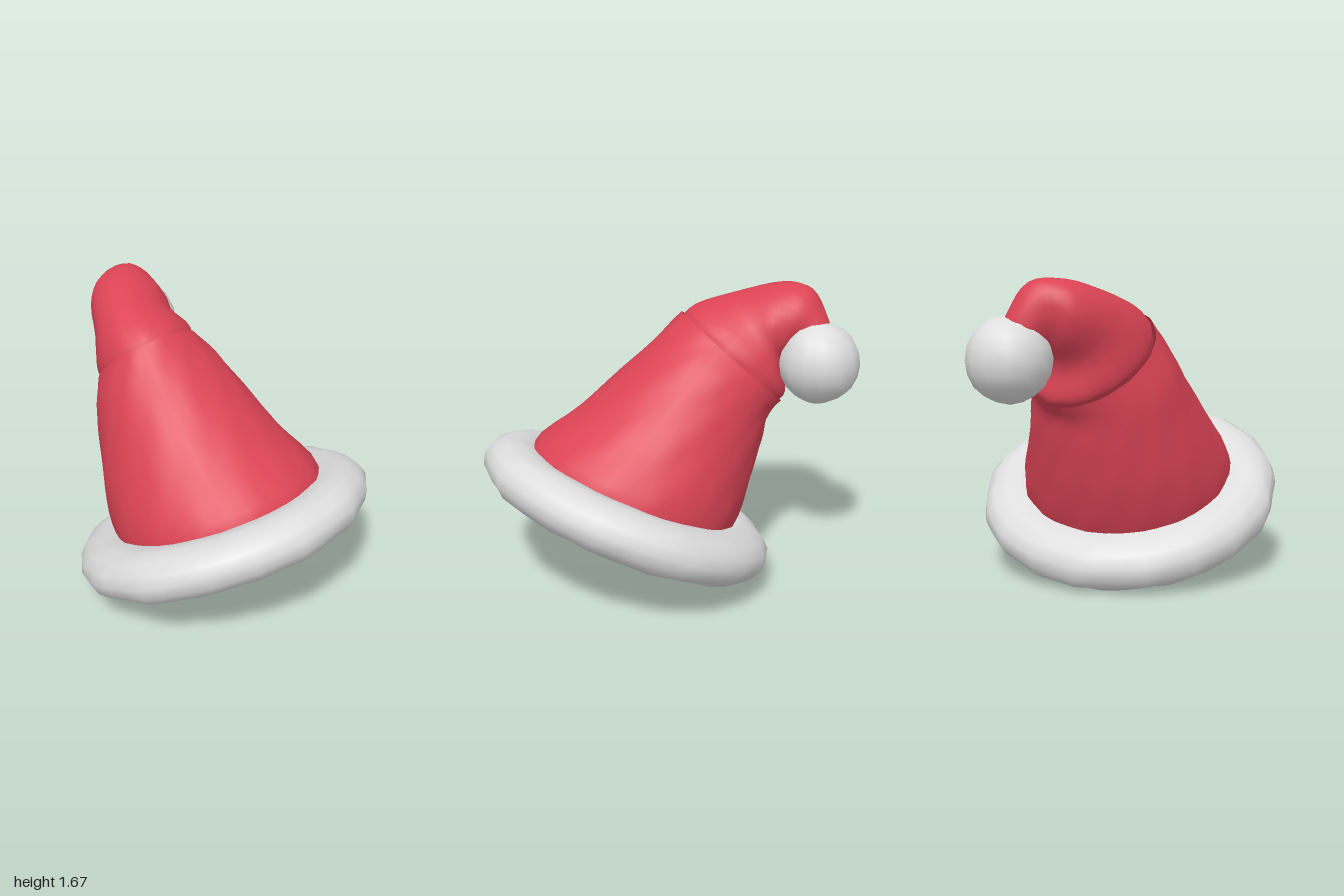
import * as THREE from 'three';
import { mergeVertices } from 'three/addons/utils/BufferGeometryUtils.js';

const red = new THREE.MeshStandardMaterial({ color: 0xdc4455, side: THREE.DoubleSide });
red.name = 'red felt';
const white = new THREE.MeshStandardMaterial({ color: 0xdedede });
white.name = 'white fur';

const V = (a) => new THREE.Vector3(...a);

// Skin over elliptical rings, each given as [centre, sideways radius, forward radius]
function loft(rings, rows, sides, ripple) {
  const [centre, side, front] = [0, 1, 2].map((k) => new THREE.CatmullRomCurve3(rings.map((r) => V(r[k]))));
  const pos = [], idx = [];
  for (let i = 0; i <= rows; i++) {
    const t = i / rows;
    const c = centre.getPoint(t), a = side.getPoint(t), b = front.getPoint(t);
    for (let j = 0; j < sides; j++) {
      const th = (j / sides) * Math.PI * 2;
      const k = 1 + ripple * Math.sin(j * 2.4 + i * 0.9);
      const p = c.clone().addScaledVector(a, k * Math.cos(th)).addScaledVector(b, k * Math.sin(th));
      pos.push(p.x, p.y, p.z);
      if (i < rows) {
        const n = (j + 1) % sides, p0 = i * sides + j, p1 = i * sides + n;
        idx.push(p0, p0 + sides, p1, p1, p0 + sides, p1 + sides);
      }
    }
  }
  const g = new THREE.BufferGeometry();
  g.setAttribute('position', new THREE.Float32BufferAttribute(pos, 3));
  g.setIndex(idx);
  g.computeVertexNormals();
  return g;
}

// Gently uneven surface for the fur
function lumpy(geometry, amount) {
  geometry.deleteAttribute('uv');
  geometry.deleteAttribute('normal');
  const g = mergeVertices(geometry, 1e-4);
  const p = g.attributes.position;
  for (let i = 0; i < p.count; i++) {
    const x = p.getX(i), y = p.getY(i), z = p.getZ(i);
    const k = amount * Math.sin(17 * x + 9 * y) * Math.cos(15 * z - 11 * y);
    p.setXYZ(i, x * (1 + k), y * (1 + 3 * k), z * (1 + k));
  }
  g.computeVertexNormals();
  return g;
}

export function createModel() {
  const hat = new THREE.Group();
  hat.name = 'hat';
  const add = (parent, name, geometry, material) => {
    const m = new THREE.Mesh(geometry, material);
    m.name = name;
    parent.add(m);
    return m;
  };

  // Brim, tilted up at the front
  const brim = new THREE.Group();
  brim.name = 'brim';
  brim.position.set(0, 0.435, 0.207);
  brim.rotation.x = -0.419;
  hat.add(brim);
  const ring = new THREE.TorusGeometry(0.668, 0.187, 14, 40).rotateX(Math.PI / 2).scale(1, 0.77, 1);
  add(brim, 'furRing', lumpy(ring, 0.012), white);

  // Hem of the felt showing inside the back of the brim
  const hem = [[0.47, 0.05], [0.472, 0], [0.488, -0.07], [0.54, -0.13]].map((p) => new THREE.Vector2(...p));
  add(brim, 'hem', new THREE.LatheGeometry(hem, 20, Math.PI - 1, 2), red);

  // Lining that closes the opening, cut straight at the back and rising to the front
  const cut = 0.27, radius = 0.58, angle = Math.asin(cut / radius);
  const disc = new THREE.Shape();
  disc.absarc(0, cut, radius, -angle, Math.PI + angle, false);
  const lining = add(brim, 'lining', new THREE.ShapeGeometry(disc, 24).rotateX(Math.PI / 2), red);
  lining.position.set(0, -0.09, -cut);
  lining.rotation.x = -0.22;

  // Main cone, leaning back
  add(hat, 'crown', loft([
    [[0, 0.34, 0.245], [0.58, 0, 0], [0, 0.236, 0.53]],
    [[0, 0.55, 0.17], [0.6, 0, 0], [0, 0.256, 0.565]],
    [[0, 0.78, -0.025], [0.525, 0, 0], [0, 0.23, 0.48]],
    [[0.015, 0.995, -0.185], [0.445, -0.01, 0], [0, 0.215, 0.385]],
    [[0.03, 1.165, -0.315], [0.385, -0.03, 0], [0, 0.225, 0.295]],
    [[0.06, 1.265, -0.405], [0.33, -0.06, 0], [-0.03, 0.235, 0.255]],
  ], 20, 36, 0.008), red);

  // Folded tip, tucked into the crown and bending over to the left
  add(hat, 'foldedTip', loft([
    [[0.058, 1.245, -0.385], [0.312, -0.06, 0], [-0.03, 0.222, 0.24]],
    [[0.068, 1.285, -0.43], [0.318, -0.06, 0], [-0.03, 0.232, 0.243]],
    [[0.11, 1.4, -0.545], [0.25, -0.06, 0.06], [-0.04, 0.2, 0.13]],
    [[0.2, 1.48, -0.66], [0.16, -0.05, 0.15], [-0.01, 0.195, 0.03]],
    [[0.28, 1.48, -0.71], [0.09, -0.06, 0.13], [0.04, 0.175, -0.01]],
    [[0.335, 1.43, -0.76], [0.04, 0, 0.11], [0.06, 0.1, -0.02]],
    [[0.38, 1.36, -0.78], [0, 0, 0.08], [0.08, 0.04, 0]],
  ], 24, 28, 0.008), red);

  // Pompom
  const ball = add(hat, 'pompom', lumpy(new THREE.SphereGeometry(0.225, 14, 10), 0.012), white);
  ball.position.set(0.395, 1.277, -0.778);

  return hat;
}
